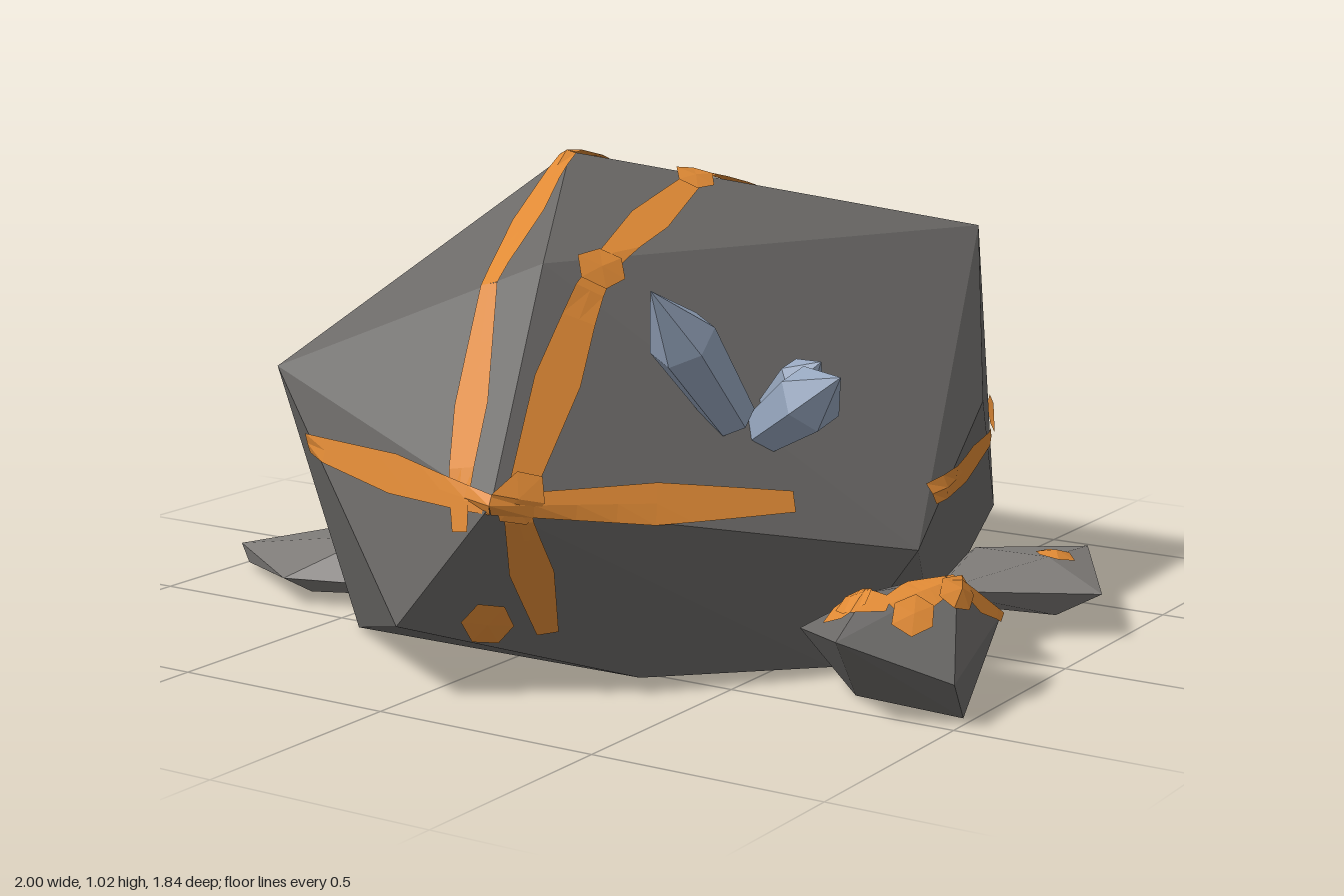
import * as THREE from 'three';
import { ConvexGeometry } from 'three/addons/geometries/ConvexGeometry.js';

const mat = (color, side = THREE.FrontSide) => new THREE.MeshStandardMaterial({ color, side, flatShading: true });
const V = (p) => new THREE.Vector3(...p);

// Faceted boulder: the hull of a few corner points
function rock(name, corners, material) {
  const mesh = new THREE.Mesh(new ConvexGeometry(corners.map(V)), material);
  mesh.name = name;
  mesh.updateMatrixWorld(true);
  return mesh;
}

// Geometry from positions and optional triangle corners
function surface(positions, index = null) {
  const geo = new THREE.BufferGeometry();
  geo.setAttribute('position', new THREE.Float32BufferAttribute(positions, 3));
  if (index) geo.setIndex(index);
  geo.computeVertexNormals();
  return geo;
}

// Removes the faces lying on the ground, leaving a hollow shell
function openBottom(mesh) {
  const p = mesh.geometry.attributes.position, kept = [];
  for (let i = 0; i < p.count; i += 3) {
    if (Math.max(p.getY(i), p.getY(i + 1), p.getY(i + 2)) < 0.001) continue;
    for (let k = i; k < i + 3; k++) kept.push(p.getX(k), p.getY(k), p.getZ(k));
  }
  mesh.geometry = surface(kept);
}

// Drops a point onto a rock's surface, along a line from the rock's middle
function drape(target, center, p, lift = 0.01) {
  const dir = p.clone().sub(center).normalize();
  const ray = new THREE.Raycaster(center.clone().addScaledVector(dir, 5), dir.clone().negate());
  const hit = ray.intersectObject(target)[0];
  return (hit ? hit.point : p.clone()).addScaledVector(dir, lift);
}

// Ore vein: spindle-shaped ribbons between nodes
function vein(target, center, nodes, half, material) {
  const pos = [], index = [], steps = 8;
  for (let i = 0; i < nodes.length - 1; i++) {
    const a = V(nodes[i]), b = V(nodes[i + 1]);
    const tangent = b.clone().sub(a).normalize();
    for (let k = 0; k <= steps; k++) {
      const t = k / steps;
      const mid = drape(target, center, a.clone().lerp(b, t));
      const side = mid.clone().sub(center).cross(tangent).normalize();
      const w = half * (0.5 + 0.5 * (1 - Math.abs(2 * t - 1)));
      const n = pos.length / 3;
      for (const s of [-w, 0, w]) pos.push(...drape(target, center, mid.clone().addScaledVector(side, s)).toArray());
      if (k < steps) {
        for (const j of [n, n + 1]) index.push(j, j + 1, j + 3, j + 1, j + 4, j + 3);
      }
    }
  }
  const mesh = new THREE.Mesh(surface(pos, index), material);
  mesh.name = 'oreVein';
  return mesh;
}

// Ore patch: six-sided fan draped over the rock
function patch(target, center, at, radius, material) {
  const mid = drape(target, center, V(at), 0.018);
  const out = mid.clone().sub(center).normalize();
  const u = new THREE.Vector3(0.3, 0.2, 1).cross(out).normalize(), w = out.clone().cross(u);
  const pos = mid.toArray(), index = [];
  for (let i = 0; i < 6; i++) {
    const a = i * Math.PI / 3;
    const rim = mid.clone().addScaledVector(u, radius * Math.cos(a)).addScaledVector(w, radius * 1.25 * Math.sin(a));
    pos.push(...drape(target, center, rim, 0.014).toArray());
    index.push(0, i + 1, (i + 1) % 6 + 1);
  }
  const mesh = new THREE.Mesh(surface(pos, index), material);
  mesh.name = 'orePatch';
  return mesh;
}

// Six-sided crystal with a pointed tip
function crystal(base, tip, radius, material) {
  const a = V(base), axis = V(tip).sub(a), h = axis.length();
  const profile = [[0, 0], [radius * 0.7, 0], [radius, h * 0.62], [0, h]].map((p) => new THREE.Vector2(...p));
  const mesh = new THREE.Mesh(new THREE.LatheGeometry(profile, 6), material);
  mesh.position.copy(a);
  mesh.quaternion.setFromUnitVectors(new THREE.Vector3(0, 1, 0), axis.normalize());
  mesh.name = 'crystal';
  return mesh;
}

export function createModel() {
  const group = new THREE.Group();
  group.name = 'oreBoulder';
  const shell = mat(0x6b6967, THREE.DoubleSide), stone = mat(0x6b6967), paleStone = mat(0x7d7a77);
  const ore = mat(0xe08a35, THREE.DoubleSide), gem = mat(0x97a7bf, THREE.DoubleSide);

  // Rocks; the smaller ones reach inside the hollow main boulder
  const main = rock('mainBoulder', [
    [-0.1, 1.02, 0.19], [0.13, 0.85, 0.62], [0.5, 0.82, -0.56], [-0.25, 0.88, -0.47], [-0.52, 0.7, 0.22],
    [-0.47, 0.6, 0.73], [0.2, 0.42, 0.9], [-0.02, 0.15, 0.92], [0.76, 0.26, 0.2], [0.66, 0.48, -0.28],
    [0.44, 0.12, -0.79], [0.4, 0.3, -0.81], [-0.28, 0.6, -0.77], [-0.02, 0, -0.92], [-0.63, 0.28, -0.13],
    [-0.62, 0.05, 0.1], [-0.42, 0, 0.54], [0.3, 0, 0.53], [0.59, 0, 0.25], [0.61, 0, -0.15], [-0.35, 0, -0.65],
  ], shell);
  openBottom(main);
  const left = rock('sideBoulder', [
    [-1, 0.2, -0.17], [-1, 0, -0.19], [-1, 0.22, -0.51], [-0.8, 0, -0.6], [-0.83, 0.52, -0.25], [-0.52, 0.52, -0.52],
    [-0.38, 0.48, -0.57], [-0.56, 0.16, -0.75], [-0.34, 0.2, -0.71], [-0.65, 0.28, -0.03], [-0.6, 0, -0.05],
    [-0.03, 0, -0.17], [-0.1, 0.12, -0.4], [-0.12, 0.34, -0.22],
  ], stone);
  const corner = rock('cornerRock', [
    [0.6, 0.12, 0.4], [0.78, 0.23, 0.45], [0.91, 0.25, 0.32], [1, 0.09, 0.5], [0.8, 0.17, 0.61], [0.74, 0.19, 0.2],
    [0.94, 0.15, 0.18], [0.73, 0, 0.4], [0.98, 0, 0.42], [0.85, 0.04, 0.21],
  ], stone);
  const backSlab = rock('backSlab', [
    [0.52, 0.08, -0.54], [0.78, 0.11, -0.58], [0.97, 0.1, -0.24], [0.8, 0.14, -0.33], [0.66, 0.1, -0.07],
    [0.5, 0.02, -0.24], [0.7, 0.02, -0.42], [0.85, 0.03, -0.27],
  ], paleStone);
  const leftSlab = rock('leftSlab', [
    [-1, 0.05, 0.25], [-0.62, 0.14, 0.13], [-0.53, 0.15, 0.35], [-0.48, 0.06, 0.42], [-0.68, 0.06, 0.48],
    [-0.97, 0.01, 0.26], [-0.7, 0, 0.36], [-0.5, 0, 0.12], [-0.34, 0.02, 0.28],
  ], paleStone);
  group.add(main, left, corner, backSlab, leftSlab);

  // Lays veins and patches of ore over one rock
  function deposit(target, center, half, paths, patches) {
    for (const path of paths) group.add(vein(target, V(center), path, half, ore));
    for (const p of patches) group.add(patch(target, V(center), p, 0.045, ore));
  }

  // Two long veins over the top of the main boulder
  const middle = [0, 0.35, 0];
  deposit(main, middle, 0.04, [
    [[0.13, 0.36, 0.9], [0.02, 0.81, 0.66], [-0.1, 1.02, 0.2], [-0.18, 0.97, -0.05], [-0.26, 0.88, -0.5],
      [-0.28, 0.6, -0.77], [-0.2, 0.3, -0.84]],
    [[0.24, 0.42, 0.88], [0.2, 0.85, 0.52], [0.1, 0.97, 0], [-0.02, 0.86, -0.48], [-0.1, 0.66, -0.78], [-0.13, 0.35, -0.87]],
  ], [[0.24, 0.43, 0.87], [0.2, 0.85, 0.52], [0.1, 0.97, 0], [-0.26, 0.88, -0.5], [-0.1, 0.66, -0.78]]);

  // Short veins around its sides
  deposit(main, middle, 0.04, [
    [[-0.35, 0.46, 0.79], [0.2, 0.42, 0.9], [0.67, 0.38, 0.45]],
    [[0.24, 0.42, 0.88], [0.22, 0.1, 0.78]],
    [[0.73, 0.35, 0.08], [0.6, 0.36, -0.47]],
    [[-0.62, 0.45, -0.12], [-0.55, 0.48, 0.5]],
  ], [[0.13, 0.14, 0.85], [0.45, 0.35, -0.75]]);

  // Ore on the smaller rocks
  deposit(left, [-0.65, 0.22, -0.35], 0.035,
    [[[-0.67, 0.5, -0.5], [-0.7, 0.33, -0.67], [-0.56, 0.18, -0.74]]],
    [[-0.56, 0.46, -0.25], [-0.12, 0.33, -0.2]]);
  deposit(corner, [0.82, 0.1, 0.38], 0.045,
    [[[0.7, 0.18, 0.47], [0.84, 0.22, 0.47], [0.91, 0.25, 0.34], [0.94, 0.15, 0.19]]],
    [[0.88, 0.19, 0.45], [0.76, 0.22, 0.47], [0.92, 0.22, 0.35]]);
  deposit(backSlab, [0.75, 0.06, -0.33], 0.035, [], [[0.8, 0.14, -0.35]]);

  // Crystal cluster
  group.add(
    crystal([0.45, 0.54, 0.42], [0.43, 0.83, 0.69], 0.07, gem),
    crystal([0.48, 0.5, 0.35], [0.71, 0.65, 0.44], 0.07, gem),
    crystal([0.48, 0.54, 0.31], [0.62, 0.66, 0.36], 0.05, gem),
  );
  return group;
}
